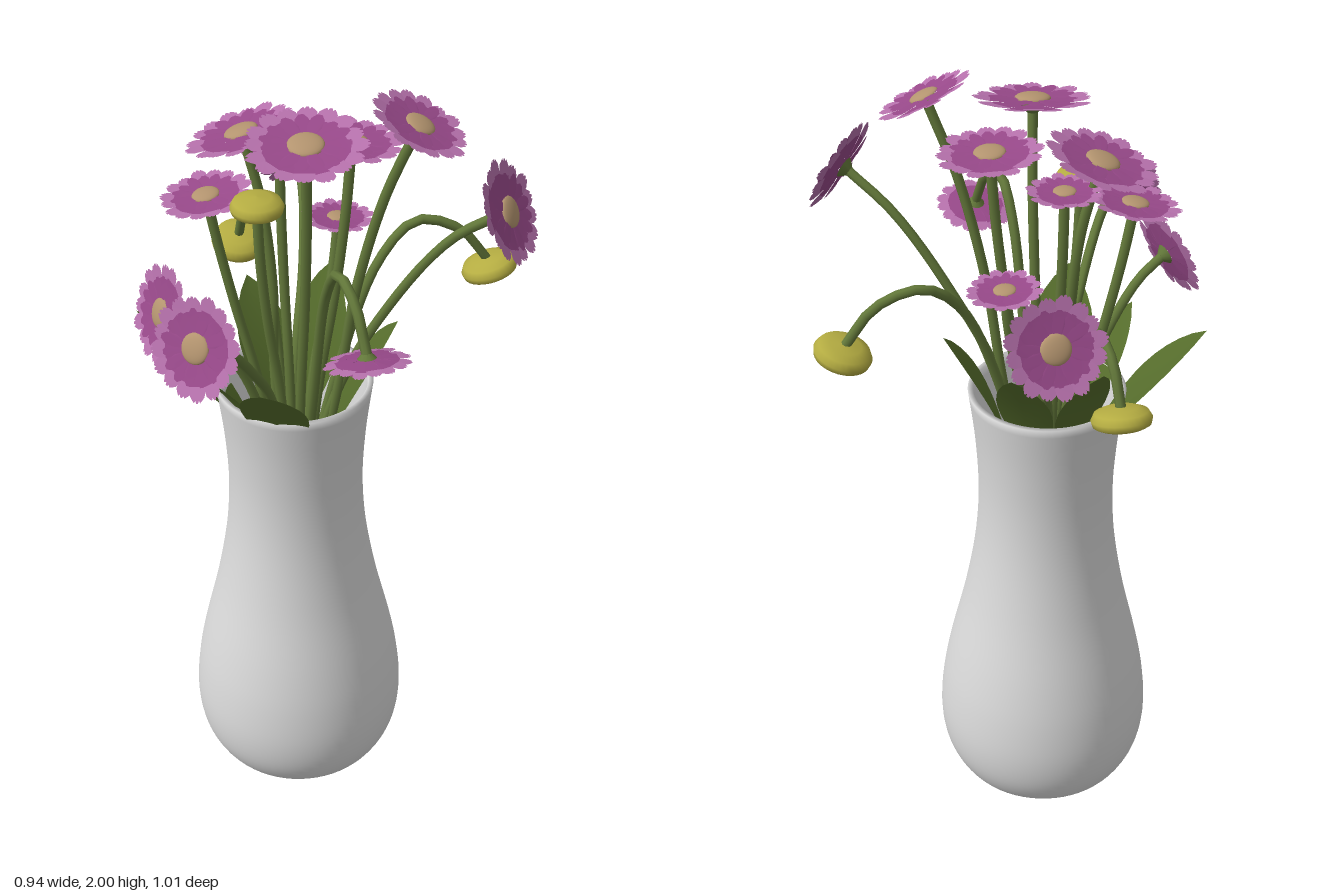
import * as THREE from 'three';
import { mergeGeometries } from 'three/addons/utils/BufferGeometryUtils.js';

const mat = (name, color, side = THREE.FrontSide) => {
  const m = new THREE.MeshStandardMaterial({ color, side });
  m.name = name;
  return m;
};
const V = (x, y, z) => new THREE.Vector3(x, y, z);
const UP = V(0, 1, 0);
const AXIS = V(-0.085, 0, -0.005); // vase centre line

// Ring of flat petals around y; outline is [radius, halfWidth] pairs, tip notched
function petalRing(count, outline, lift, turn) {
  const parts = [];
  for (let i = 0; i < count; i++) {
    const k = 1 - 0.05 * ((i * 2) % 3) / 2;
    const pts = [...outline.map(([r, w]) => [r * k, w]),
      ...outline.slice().reverse().map(([r, w]) => [r * k, -w])];
    const g = new THREE.ShapeGeometry(new THREE.Shape(pts.map(p => new THREE.Vector2(...p))));
    g.rotateX(-Math.PI / 2);
    const p = g.attributes.position;
    for (let j = 0; j < p.count; j++) {
      const r = p.getX(j);
      p.setY(j, lift + 0.1 * r * r + (i % 2) * 0.025);
    }
    g.computeVertexNormals();
    g.rotateY(((i + turn) / count) * Math.PI * 2);
    parts.push(g);
  }
  return mergeGeometries(parts);
}

// Leaf blade: a folded ribbon that follows a curve
function leafGeometry(base, tip, width) {
  const out = tip.clone().sub(base).setY(0).normalize();
  const side = V(-out.z, 0, out.x);
  const mid = base.clone().lerp(tip, 0.55).addScaledVector(out, -0.035);
  const curve = new THREE.QuadraticBezierCurve3(base, mid, tip);
  const pos = [], idx = [], n = 12;
  for (let i = 0; i <= n; i++) {
    const t = i / n, c = curve.getPoint(t);
    const w = width * (0.12 * (1 - t) + Math.pow(Math.sin(Math.PI * Math.pow(t, 1.35)), 0.8));
    for (const s of [-1, 0, 1]) {
      const q = c.clone().addScaledVector(side, s * w).addScaledVector(out, s ? -0.15 * w : 0);
      pos.push(q.x, q.y, q.z);
    }
    if (i < n) for (const a of [i * 3, i * 3 + 1]) idx.push(a, a + 1, a + 3, a + 1, a + 4, a + 3);
  }
  const g = new THREE.BufferGeometry();
  g.setAttribute('position', new THREE.Float32BufferAttribute(pos, 3));
  g.setIndex(idx);
  g.computeVertexNormals();
  return g;
}

export function createModel() {
  const model = new THREE.Group();
  model.name = 'vaseOfFlowers';
  const D = THREE.DoubleSide;
  const porcelain = mat('porcelain', 0xdcdcdc, D);
  const stemGreen = mat('stemGreen', 0x63783a);
  const leafGreen = mat('leafGreen', 0x566d2c, D);
  const petalDark = mat('petalMagenta', 0x98498a, D);
  const petalLight = mat('petalPink', 0xb671ac, D);
  const pollen = mat('pollenTan', 0xb3946f);
  const budYellow = mat('budYellow', 0xb5ad42);

  const add = (parent, name, geo, material) => {
    const m = new THREE.Mesh(geo, material);
    m.name = name;
    parent.add(m);
    return m;
  };

  // Vase: smooth outer wall, lip and inner wall, plus a flat foot
  const wall = new THREE.SplineCurve([[0.2, 0.005], [0.235, 0.03], [0.268, 0.1], [0.28, 0.19],
    [0.272, 0.3], [0.25, 0.42], [0.208, 0.6], [0.18, 0.77], [0.171, 0.92], [0.178, 1.07],
    [0.195, 1.215]].map(p => new THREE.Vector2(...p))).getPoints(44);
  const inner = wall.slice().reverse().map(p => new THREE.Vector2(p.x - 0.013, Math.max(p.y, 0.02)));
  const vase = add(model, 'vase', new THREE.LatheGeometry([...wall, ...inner, new THREE.Vector2(0, 0.02)], 64), porcelain);
  vase.position.copy(AXIS);
  const foot = add(model, 'vaseFoot', new THREE.CylinderGeometry(0.2, 0.195, 0.01, 64), porcelain);
  foot.position.copy(AXIS).setY(0.005);

  // Shared flower and bud pieces at unit radius
  const lowerRing = petalRing(16, [[0.15, 0.04], [0.45, 0.13], [0.7, 0.17]], 0, 0);
  const tipRing = petalRing(16, [[0.7, 0.17], [0.88, 0.16], [0.96, 0.1], [0.99, 0.07], [0.95, 0.04], [1, 0.02]], 0, 0);
  const upperRing = petalRing(15, [[0.1, 0.03], [0.45, 0.12], [0.64, 0.11], [0.74, 0.04]], 0.07, 0.5);
  const heart = new THREE.SphereGeometry(0.3, 24, 8, 0, Math.PI * 2, 0, Math.PI / 2).scale(1, 0.3, 1).translate(0, 0.09, 0);
  const calyx = new THREE.CylinderGeometry(0.22, 0.09, 0.14, 12).translate(0, -0.075, 0);
  const budShape = new THREE.LatheGeometry([[0, -0.12], [0.6, -0.16], [0.8, -0.3], [0.95, -0.22], [1, -0.02],
    [0.88, 0.2], [0.55, 0.33], [0, 0.38]].map(p => new THREE.Vector2(...p)), 28);

  function head(name, at, normal, radius) {
    const g = new THREE.Group();
    g.name = name;
    g.position.copy(at);
    g.quaternion.setFromUnitVectors(UP, normal);
    g.scale.setScalar(radius);
    model.add(g);
    return g;
  }

  // Stem from inside the vase through the mouth to the head
  function stem(at, approach, arch) {
    const toward = at.clone().sub(AXIS).setY(0);
    const mouth = AXIS.clone().addScaledVector(toward, Math.min(0.45, 0.11 / toward.length())).setY(1.2);
    const foot = AXIS.clone().addScaledVector(toward, -0.1).setY(0.5);
    const pts = [foot, mouth];
    if (arch) {
      pts.push(mouth.clone().lerp(arch, 0.55).setY(mouth.y + (arch.y - mouth.y) * 0.8), arch);
      pts.push(at.clone().lerp(arch, 0.4).setY(at.y + (arch.y - at.y) * 0.72));
    } else {
      const ctrl = at.clone().addScaledVector(approach, -0.4 * (at.y - 1.2));
      const bend = new THREE.QuadraticBezierCurve3(mouth, ctrl, at);
      pts.push(bend.getPoint(0.35), bend.getPoint(0.7));
    }
    pts.push(at);
    add(model, 'stem', new THREE.TubeGeometry(new THREE.CatmullRomCurve3(pts), 32, 0.012, 8), stemGreen);
  }

  // Open flowers: position, facing direction, radius, optional arch of a drooping stem
  const flowers = [
    [V(-0.2, 1.84, -0.06), V(-0.3, 0.95, -0.05), 0.135],
    [V(-0.28, 1.71, 0.0), V(-0.15, 0.98, 0.05), 0.11],
    [V(-0.12, 1.78, -0.09), V(0, 1, 0), 0.09],
    [V(0.05, 1.84, -0.03), V(0.05, 1, -0.05), 0.125],
    [V(-0.04, 1.905, 0.12), V(0, 0.98, 0.17), 0.14],
    [V(0.2, 1.935, 0.06), V(0.42, 0.9, 0.08), 0.118],
    [V(0.4, 1.75, 0.09), V(0.83, 0.45, 0.32), 0.122],
    [V(-0.25, 1.58, 0.42), V(-0.45, 0.4, 0.8), 0.118],
    [V(-0.365, 1.5, 0.165), V(-0.78, 0.33, 0.53), 0.118],
    [V(-0.11, 1.59, -0.44), V(-0.27, 0.42, -0.86), 0.118],
    [V(0.01, 1.57, -0.17), V(0.05, 1, -0.05), 0.09],
    [V(0.11, 1.53, 0.36), V(0.12, -0.95, 0.25), 0.1, V(0.04, 1.665, 0.24)],
  ];
  flowers.forEach(([at, n, r, arch], i) => {
    n.normalize();
    const g = head('flower', at, n, r);
    g.rotateY(i * 0.7);
    add(g, 'lowerPetals', lowerRing, petalDark);
    add(g, 'petalTips', tipRing, petalLight);
    add(g, 'upperPetals', upperRing, petalDark);
    add(g, 'flowerHeart', heart, pollen);
    add(g, 'calyx', calyx, stemGreen);
    stem(at.clone().addScaledVector(n, -0.008), n, arch);
  });

  // Yellow button buds: domed side up, nodding where the stem arches
  const buds = [
    [V(0.38, 1.43, -0.215), V(-0.3, 0.95, -0.05), 0.07, V(0.2, 1.575, -0.17)],
    [V(-0.26, 1.38, -0.38), V(0.1, 0.95, 0.28), 0.07, V(-0.205, 1.53, -0.27)],
    [V(-0.155, 1.74, 0.08), V(0, 1, 0), 0.062],
  ];
  for (const [at, n, r, arch] of buds) {
    n.normalize();
    add(head('bud', at, n, r), 'budButton', budShape, budYellow);
    stem(at.clone().addScaledVector(n, arch ? 0.02 : -0.01), n, arch);
  }

  // Leaves around the mouth: tip and half width
  const leaves = [
    [V(-0.465, 1.39, -0.01), 0.072],
    [V(-0.29, 1.35, 0.19), 0.055],
    [V(-0.13, 1.385, 0.32), 0.078],
    [V(-0.01, 1.395, -0.27), 0.065],
    [V(-0.22, 1.38, -0.21), 0.065],
    [V(0.165, 1.37, -0.04), 0.06],
  ];
  for (const [tip, w] of leaves) {
    const dir = tip.clone().sub(AXIS).setY(0).normalize();
    add(model, 'leaf', leafGeometry(AXIS.clone().addScaledVector(dir, 0.09).setY(1.03), tip, w), leafGreen);
  }
  return model;
}
